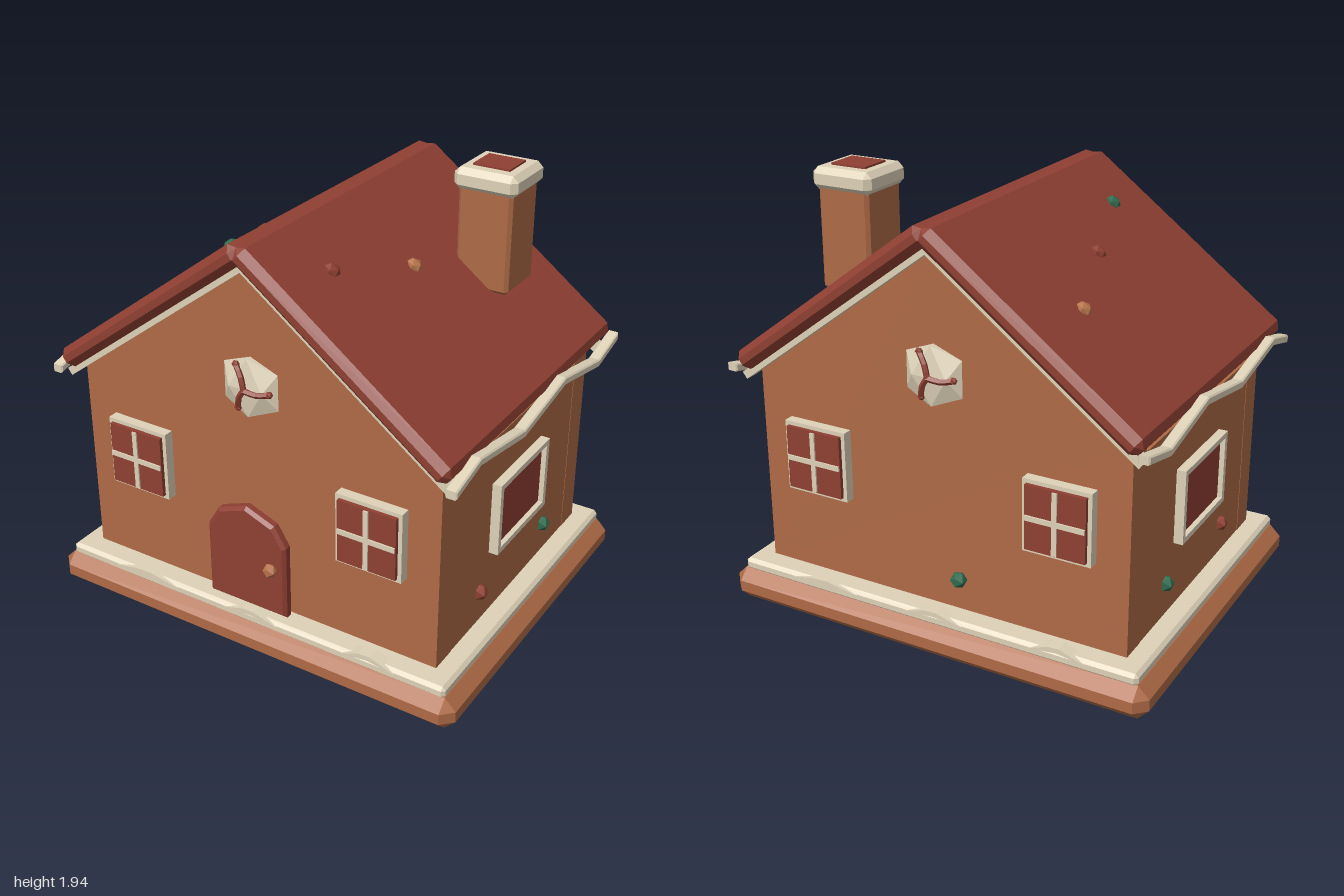
import * as THREE from 'three';
import { ConvexGeometry } from 'three/addons/geometries/ConvexGeometry.js';

const mat = (name, color) => Object.assign(new THREE.MeshStandardMaterial({ color, flatShading: true }), { name });

export function createModel() {
  const ginger = mat('gingerbread', 0xae6a46);
  const red = mat('red candy', 0x8f3f32);
  const icing = mat('icing', 0xded2b8);
  const green = mat('green candy', 0x2f6b4f);
  const orange = mat('orange candy', 0xb8744c);
  const house = new THREE.Group();
  house.name = 'gingerbreadHouse';

  const add = (parent, name, geo, material, x = 0, y = 0, z = 0) => {
    const m = new THREE.Mesh(geo, material);
    m.name = name;
    m.position.set(x, y, z);
    parent.add(m);
    return m;
  };
  // Box with every edge chamfered by c
  const chamferBox = (w, h, d, c) => {
    const pts = [];
    for (const x of [-1, 1]) for (const y of [-1, 1]) for (const z of [-1, 1])
      for (let k = 0; k < 3; k++)
        pts.push(new THREE.Vector3(
          x * (w / 2 - (k === 0 ? 0 : c)),
          y * (h / 2 - (k === 1 ? 0 : c)),
          z * (d / 2 - (k === 2 ? 0 : c))));
    return new ConvexGeometry(pts);
  };
  const poly = (pts) => new THREE.Shape(pts.map(([x, y]) => new THREE.Vector2(x, y)));
  const slab = (shape, depth, bevel = 0) => {
    const g = new THREE.ExtrudeGeometry(shape, {
      depth: depth - 2 * bevel, bevelEnabled: bevel > 0, bevelSize: bevel,
      bevelThickness: bevel, bevelOffset: -bevel, bevelSegments: 1,
    });
    return g.translate(0, 0, bevel);
  };
  // Rectangular frame standing on z = 0
  const frame = (w, h, t, depth) => {
    const rect = (a, b) => [[-a, -b], [a, -b], [a, b], [-a, b]];
    const s = poly(rect(w / 2, h / 2));
    s.holes.push(poly(rect(w / 2 - t, h / 2 - t).reverse()));
    return slab(s, depth);
  };
  const gem = (parent, material, r, x, y, z) =>
    add(parent, 'candyDrop', new THREE.IcosahedronGeometry(r, 0), material, x, y, z);

  // Base board and snow layer
  add(house, 'baseBoard', chamferBox(2, 0.15, 1.6, 0.05), ginger, 0, 0.075, 0);
  add(house, 'snowLayer', chamferBox(1.9, 0.055, 1.52, 0.015), icing, 0, 0.168, 0);

  // Front and back gable walls with their decorations
  for (const side of ['front', 'back']) {
    const face = new THREE.Group();
    face.name = side + 'Face';
    if (side === 'back') face.rotation.y = Math.PI;
    house.add(face);

    const gable = poly([[-0.86, 0.18], [0.86, 0.18], [0.86, 1.085], [0, 1.735], [-0.86, 1.085]]);
    add(face, 'gableWall', slab(gable, 0.12), ginger, 0, 0, 0.54);

    for (const s of [-1, 1]) {
      const win = new THREE.Group();
      win.name = 'gableWindow';
      win.position.set(s * 0.567, 0.733, 0.66);
      face.add(win);
      add(win, 'windowFrame', frame(0.3, 0.315, 0.02, 0.045), icing);
      add(win, 'windowPane', new THREE.BoxGeometry(0.265, 0.28, 0.062), red, 0, 0, 0.031);
      add(win, 'mullion', new THREE.BoxGeometry(0.022, 0.27, 0.01), icing, 0, 0, 0.064);
      add(win, 'mullion', new THREE.BoxGeometry(0.26, 0.022, 0.01), icing, 0, 0, 0.064);

      // Icing line tucked under the roof
      const trim = add(face, 'gableTrim', new THREE.BoxGeometry(1.14, 0.035, 0.05), icing,
        s * 0.457, 1.397, 0.685);
      trim.rotation.z = -s * Math.atan(0.75);
    }

    // Round sweet with a three-armed swirl
    const dome = add(face, 'peppermint', new THREE.IcosahedronGeometry(0.15, 0).rotateZ(Math.PI / 2),
      icing, 0, 1.22, 0.66);
    dome.scale.z = 0.35;
    for (const [x, y] of [[-0.045, 0.1], [0.11, 0.005], [-0.04, -0.09]]) {
      const path = new THREE.CatmullRomCurve3([
        new THREE.Vector3(0, 0, 0.052),
        new THREE.Vector3(x * 0.5 + y * 0.08, y * 0.5 - x * 0.08, 0.048),
        new THREE.Vector3(x, y, 0.036)]);
      add(face, 'peppermintSwirl', new THREE.TubeGeometry(path, 4, 0.013, 5), red, 0, 1.22, 0.66);
      gem(face, red, 0.016, x, 1.22 + y, 0.696);
    }

    // Small snow drifts along the edge of the base
    for (const [x, w, h] of [[-0.52, 0.17, 0.203], [0.03, 0.135, 0.21], [0.6, 0.125, 0.215]]) {
      const drift = poly([[-w, 0.178], [0, h - 0.022], [w, 0.178], [w * 0.1, h], [-w * 0.3, h - 0.003]]);
      add(face, 'snowDrift', slab(drift, 0.06), icing, x, 0, 0.705);
    }
  }

  // Arched door with knob
  const arch = poly([[-0.193, 0.215], [0.193, 0.215], [0.193, 0.555], [0.137, 0.645],
    [0, 0.697], [-0.137, 0.645], [-0.193, 0.555]]);
  add(house, 'door', slab(arch, 0.055, 0.014), red, 0, 0, 0.682);
  gem(house, orange, 0.032, 0.127, 0.44, 0.745);
  gem(house, green, 0.036, -0.12, 0.355, -0.7);

  // Side walls, side windows, roof halves and eave icing
  const wave = [[0.755, 1.1], [0.565, 1.148], [0.185, 1.083], [-0.19, 1.148], [-0.55, 1.075], [-0.755, 1.122]];
  const waveShape = poly([...wave, ...wave.slice().reverse().map(([z, y]) => [z, y - 0.036])].map(([z, y]) => [-z, y]));
  for (const s of [-1, 1]) {
    add(house, 'sideWall', new THREE.BoxGeometry(0.1, 0.85, 1.1), ginger, s * 0.808, 0.605, 0);

    const win = new THREE.Group();
    win.name = 'sideWindow';
    win.position.set(s * 0.857, 0.66, 0);
    win.rotation.y = s * Math.PI / 2;
    house.add(win);
    add(win, 'windowFrame', frame(0.455, 0.33, 0.025, 0.042), icing);
    add(win, 'windowPane', new THREE.BoxGeometry(0.41, 0.285, 0.02), red, 0, 0, 0.01);

    gem(house, red, 0.037, s * 0.862, 0.345, 0.3);
    gem(house, green, 0.037, s * 0.862, 0.345, -0.3);

    const roof = add(house, 'roofPanel', chamferBox(1.16, 0.09, 1.51, 0.03), red, s * 0.453, 1.464, 0);
    roof.rotation.z = -s * Math.atan(0.75);

    const eave = add(house, 'eaveIcing', slab(waveShape, 0.05, 0.006), icing, s * 0.94 - 0.025, 0, 0);
    eave.rotation.y = Math.PI / 2;

    // Candy drops on the roof
    for (const [x, z, m] of [[0.505, -0.37, orange], [0.37, 0.03, s < 0 ? red : orange], [0.24, 0.44, s < 0 ? green : red]]) {
      const drop = gem(house, m, 0.036, s * x, 1.868 - 0.75 * x, z);
      drop.rotation.z = -s * Math.atan(0.75);
      drop.scale.y = 0.6;
    }
  }

  // Chimney
  const chimney = new THREE.Group();
  chimney.name = 'chimney';
  chimney.position.set(0.534, 0, -0.358);
  house.add(chimney);
  add(chimney, 'chimneyStack', chamferBox(0.243, 0.46, 0.243, 0.015), ginger, 0, 1.645, 0);
  add(chimney, 'chimneyCap', chamferBox(0.285, 0.095, 0.28, 0.025), icing, 0, 1.885, 0);
  add(chimney, 'chimneyOpening', new THREE.BoxGeometry(0.165, 0.03, 0.145), red, 0, 1.926, 0);

  return house;
}
